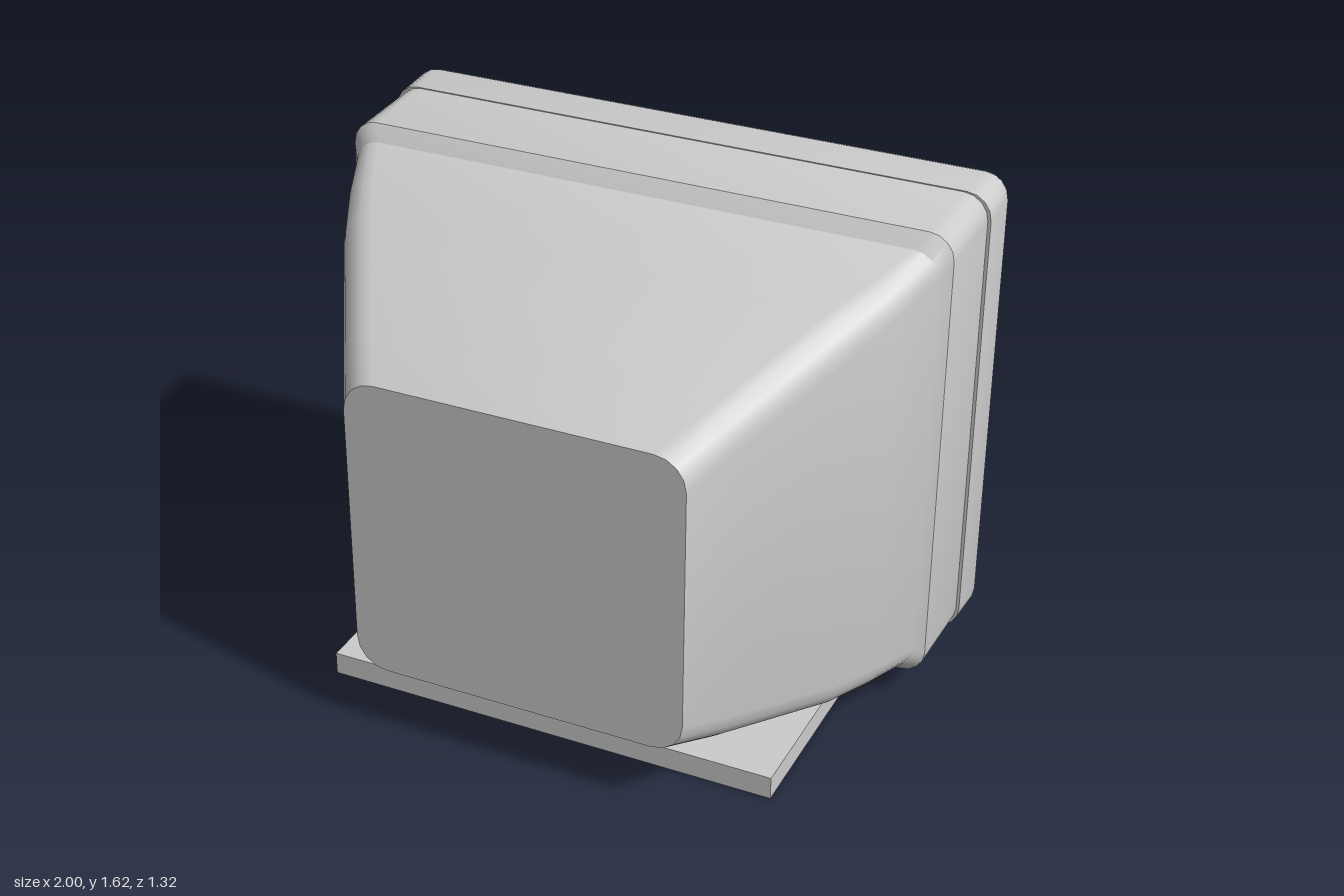
import * as THREE from 'three';
import { toCreasedNormals } from 'three/addons/utils/BufferGeometryUtils.js';

const SEG = 4; // segments per rounded corner

// Rounded rectangle ring, counter-clockwise seen from +z
function ring([z, hx, y0, y1, r]) {
  const pts = [];
  const corners = [[hx - r, y1 - r], [r - hx, y1 - r], [r - hx, y0 + r], [hx - r, y0 + r]];
  corners.forEach(([cx, cy], c) => {
    for (let i = 0; i <= SEG; i++) {
      const a = (c + i / SEG) * Math.PI / 2;
      pts.push([cx + r * Math.cos(a), cy + r * Math.sin(a), z]);
    }
  });
  return pts;
}

// Skin through rings listed along the surface, with an optional cap on the first
function loft(sections, cap) {
  const rings = sections.map(ring);
  const n = rings[0].length;
  const index = [];
  for (let s = 0; s < rings.length - 1; s++) {
    for (let i = 0; i < n; i++) {
      const j = (i + 1) % n;
      const a = s * n + i, b = a + n, c = (s + 1) * n + j, d = s * n + j;
      index.push(a, b, c, a, c, d);
    }
  }
  if (cap) for (let i = 1; i < n - 1; i++) index.push(0, i, i + 1);
  const geo = new THREE.BufferGeometry();
  geo.setAttribute('position', new THREE.Float32BufferAttribute(rings.flat(2), 3));
  geo.setIndex(index);
  return toCreasedNormals(geo, 0.45);
}

export function createModel() {
  const group = new THREE.Group();
  const plastic = new THREE.MeshStandardMaterial({ color: 0xcccccc });
  plastic.name = 'light grey plastic';
  const add = (name, geo) => {
    const mesh = new THREE.Mesh(geo, plastic);
    mesh.name = name;
    group.add(mesh);
    return mesh;
  };

  // Tapering tube housing: z, half width, bottom, top, corner radius
  add('tubeHousing', loft([
    [0.66, 0.54, 0.225, 1.215, 0.1],
    [0.5, 0.63, 0.188, 1.293, 0.1],
    [0.15, 0.825, 0.13, 1.46, 0.1],
    [0, 0.893, 0.127, 1.51, 0.09],
    [-0.16, 0.952, 0.123, 1.56, 0.08],
    [-0.2, 0.982, 0.092, 1.605, 0.08],
  ], true));

  // Wide casing around the screen, with a slight seam step
  add('casing', loft([
    [-0.2, 0.982, 0.092, 1.605, 0.08],
    [-0.49, 0.986, 0.086, 1.609, 0.08],
    [-0.49, 0.996, 0.084, 1.612, 0.08],
    [-0.635, 1.0, 0.078, 1.618, 0.08],
    [-0.652, 0.994, 0.084, 1.612, 0.075],
    [-0.66, 0.98, 0.098, 1.598, 0.07],
  ]));

  // Rounded bezel rolling inward to the screen
  const bezel = [[-0.66, 0.98, 0.098, 1.598, 0.07]];
  for (let i = 0; i <= 8; i++) {
    const a = i / 8 * Math.PI / 2;
    const t = Math.sin(a);
    bezel.push([-0.66 + 0.13 * (1 - Math.cos(a)),
      0.97 - 0.19 * t, 0.11 + 0.22 * t, 1.59 - 0.14 * t, 0.065]);
  }
  add('bezel', loft(bezel));

  // Bulging screen glass, facing -z
  const glass = new THREE.PlaneGeometry(1.64, 1.2, 24, 18).rotateY(Math.PI);
  const p = glass.attributes.position;
  for (let i = 0; i < p.count; i++) {
    const x = p.getX(i), y = p.getY(i);
    p.setZ(i, -0.645 + 0.06 * (x / 0.78) ** 2 + 0.035 * (y / 0.56) ** 2);
  }
  glass.computeVertexNormals();
  add('screen', glass).position.y = 0.89;

  // Flat base plate
  add('base', new THREE.BoxGeometry(1.49, 0.075, 0.935)).position.y = 0.0375;

  return group;
}
